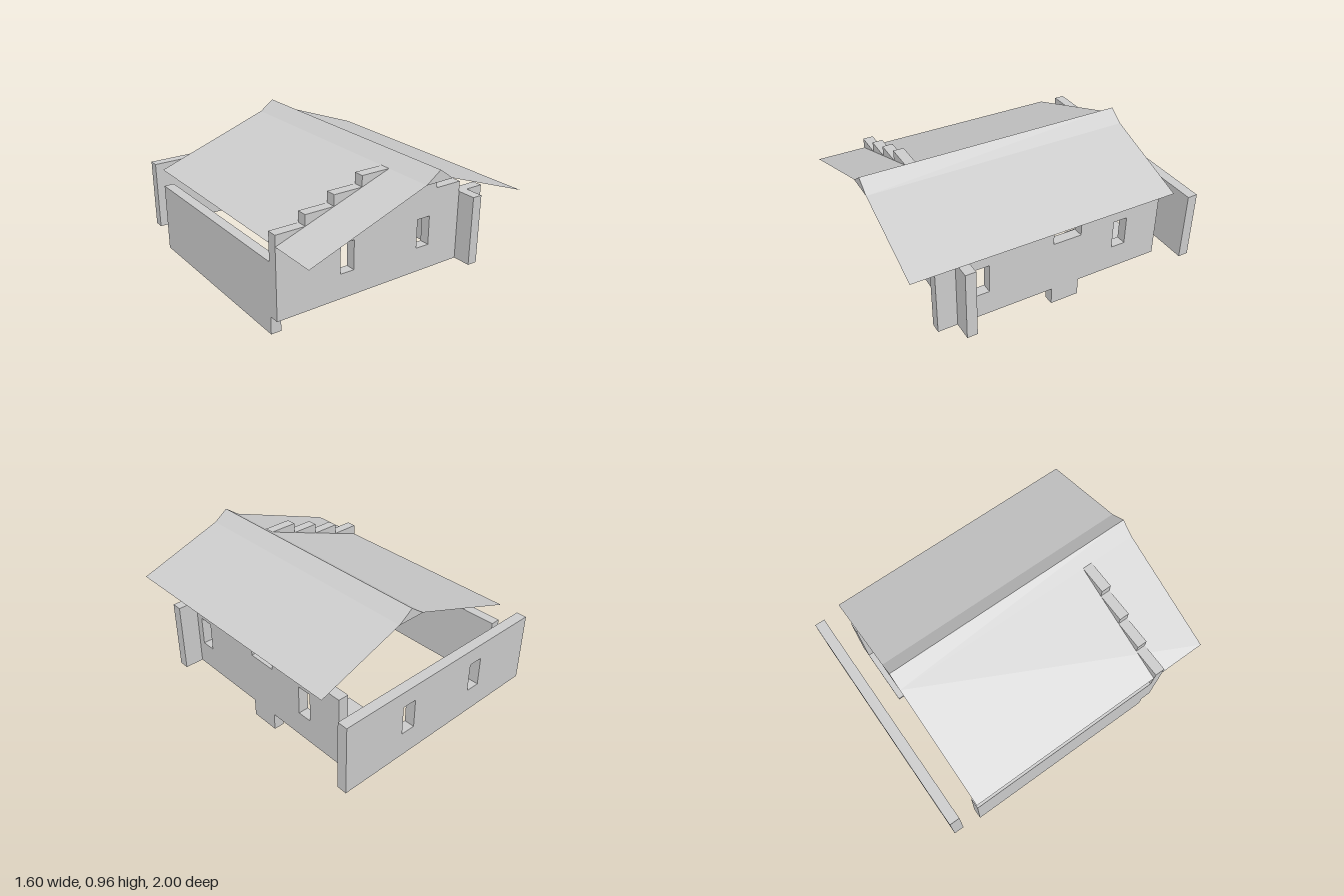
import * as THREE from 'three';

const T = 0.07; // wall thickness
const material = new THREE.MeshStandardMaterial({ color: 0xcccccc, flatShading: true });
const thinMaterial = new THREE.MeshStandardMaterial({ color: 0xcccccc, flatShading: true, side: THREE.DoubleSide });

// Window openings, shared by all pierced walls
const SILL = 0.29, HEAD = 0.49;

function extrudePanel(name, outline, depth, windows = []) {
  const shape = new THREE.Shape(outline.map(([x, y]) => new THREE.Vector2(x, y)));
  for (const [a, b] of windows) {
    shape.holes.push(new THREE.Path([[a, SILL], [a, HEAD], [b, HEAD], [b, SILL]].map(([x, y]) => new THREE.Vector2(x, y))));
  }
  const mesh = new THREE.Mesh(new THREE.ExtrudeGeometry(shape, { depth, bevelEnabled: false }), material);
  mesh.name = name;
  return mesh;
}

function box(name, x0, x1, y0, y1, z0, z1) {
  const mesh = new THREE.Mesh(new THREE.BoxGeometry(x1 - x0, y1 - y0, z1 - z0), material);
  mesh.name = name;
  mesh.position.set((x0 + x1) / 2, (y0 + y1) / 2, (z0 + z1) / 2);
  return mesh;
}

// Thin sloping sheet between two points of the roof section
function roofSheet(name, [xa, ya], [xb, yb], z0, z1) {
  const geometry = new THREE.PlaneGeometry(Math.hypot(xb - xa, yb - ya), z1 - z0);
  geometry.rotateX(-Math.PI / 2).rotateZ(Math.atan2(yb - ya, xb - xa));
  const mesh = new THREE.Mesh(geometry, thinMaterial);
  mesh.name = name;
  mesh.position.set((xa + xb) / 2, (ya + yb) / 2, (z0 + z1) / 2);
  return mesh;
}

export function createModel() {
  const house = new THREE.Group();
  house.name = 'house';
  const windows = [[-0.35, -0.25], [0.25, 0.35]];

  // Front wall with a stepped gable
  const levels = [0.672, 0.744, 0.816, 0.888, 0.816, 0.744, 0.672, 0.6];
  const gable = [[0.8, 0.12], [-0.8, 0.12]].reverse();
  const steps = levels.flatMap((y, i) => [[-0.8 + i * 0.2, y], [-0.6 + i * 0.2, y]]);
  const frontWall = extrudePanel('frontWall', [...gable, ...steps.reverse()], T, windows);
  frontWall.position.z = 0.6;
  house.add(frontWall);

  // Back wall, standing apart
  const backWall = extrudePanel('backWall', [[-0.8, 0.12], [0.8, 0.12], [0.8, 0.6], [-0.8, 0.6]], T, windows);
  backWall.position.z = -1;
  house.add(backWall);

  // Side wall at +x, notched on top with a tab below; outline runs along -z
  const leftWall = extrudePanel('leftWall', [
    [-0.8, 0.12], [0, 0.12], [0, 0], [0.2, 0], [0.2, 0.12], [0.8, 0.12],
    [0.8, 0.6], [0.2, 0.6], [0.2, 0.48], [0, 0.48], [0, 0.6], [-0.8, 0.6],
  ], T, [[-0.55, -0.45], [0.45, 0.55]]);
  leftWall.rotation.y = Math.PI / 2;
  leftWall.position.x = 0.6;
  house.add(leftWall);

  // Plain lower side wall at -x and a floor panel in the back corner
  house.add(box('rightWall', -0.8, -0.8 + T, 0, 0.48, -0.8, 0.6));
  house.add(box('floorPanel', 0.2, 0.6, 0.1, 0.12, -0.8, -0.4));

  // Roof: two thin sheets and a triangular ridge
  const roof = new THREE.Group();
  roof.name = 'roof';
  roof.add(roofSheet('rightRoofSheet', [-0.8, 0.6], [0, 0.888], -0.8, 1));
  roof.add(roofSheet('leftRoofSheet', [0.2, 0.888], [0.8, 0.672], -0.8, 1));
  const ridge = extrudePanel('ridge', [[0, 0.888], [0.2, 0.888], [0.1, 0.96]], 1.8);
  ridge.position.z = -0.8;
  roof.add(ridge);
  house.add(roof);

  return house;
}
